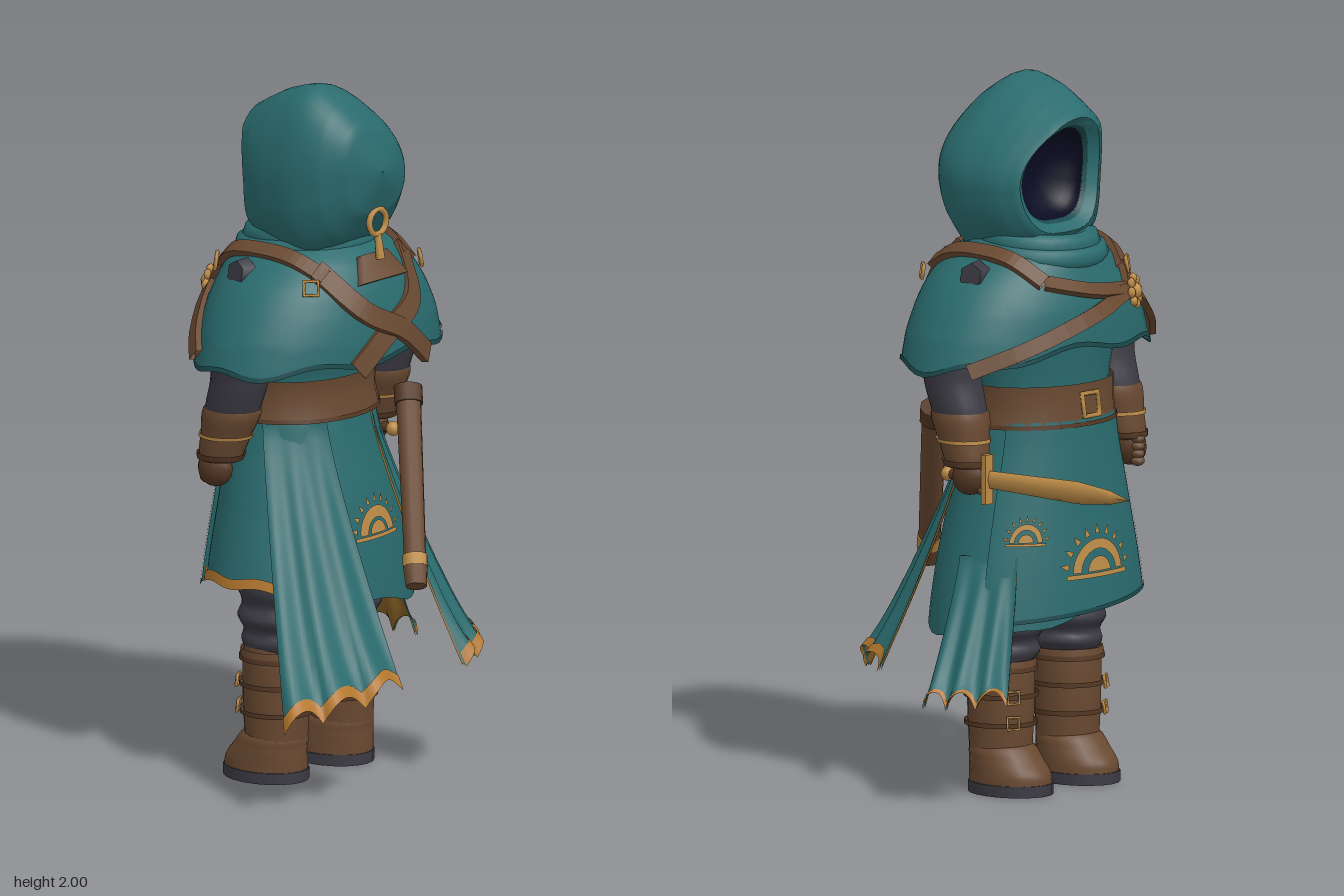
import * as THREE from 'three';
import { mergeGeometries } from 'three/addons/utils/BufferGeometryUtils.js';
import { ParametricGeometry } from 'three/addons/geometries/ParametricGeometry.js';

const mat = (name, color) => new THREE.MeshStandardMaterial({ name, color, side: THREE.DoubleSide });
const teal = mat('teal cloth', 0x2a6b6e), darkTeal = mat('dark teal edging', 0x1b4a4d);
const brown = mat('brown leather', 0x694931), darkBrown = mat('dark leather', 0x553824);
const grey = mat('charcoal cloth', 0x3c3a43), gold = mat('gold', 0xbd8c48), trim = mat('orange trim', 0xb4782e);
const lining = mat('ochre lining', 0x8c6428), shadow = mat('hood interior', 0x0a0a22);
const V = (x, y, z) => new THREE.Vector3(x, y, z);
const rad = d => d * Math.PI / 180;
const TAU = Math.PI * 2;

// Cross-sections: [key, radiusX, radiusZ, centreX, centreZ], keys falling; angle 0 is +z, 90 is +x
const robe = [[1.45, .28, .2, 0, .1], [1.3, .26, .2, 0, .09], [1.15, .22, .168, 0, .07], [1.03, .23, .18, 0, .072],
  [.8, .285, .215, 0, .085], [.6, .33, .24, 0, .09], [.42, .355, .25, 0, .09]];
const mantle = [[1.57, .15, .15, 0, .1], [1.52, .23, .205, 0, .11], [1.45, .31, .24, 0, .12],
  [1.38, .36, .262, 0, .122], [1.3, .4, .272, 0, .125], [1.18, .43, .275, 0, .125]];

// Smoothly interpolated section at height y
function section(rows, y) {
  let i = 0;
  while (i < rows.length - 2 && y < rows[i + 1][0]) i++;
  const t = THREE.MathUtils.clamp((rows[i][0] - y) / (rows[i][0] - rows[i + 1][0]), 0, 1);
  const at = k => rows[THREE.MathUtils.clamp(k, 0, rows.length - 1)];
  const [a, b, c, d] = [at(i - 1), at(i), at(i + 1), at(i + 2)];
  return b.map((p, k) => p + .5 * t * (c[k] - a[k] + t * (2 * a[k] - 5 * p + 4 * c[k] - d[k] + t * (3 * (p - c[k]) + d[k] - a[k]))));
}
function around(rows, a, y, off = 0) {
  const [, rx, rz, cx, cz] = section(rows, y);
  return V(cx + Math.sin(a) * (Math.max(rx, .001) + off), y, cz + Math.cos(a) * (Math.max(rz, .001) + off));
}

export function createModel() {
  const model = new THREE.Group();
  model.name = 'hoodedTraveller';
  const add = (name, geo, m) => {
    const mesh = new THREE.Mesh(geo, m);
    mesh.name = name;
    model.add(mesh);
    return mesh;
  };
  const sheet = (name, f, nu, nv, m) => add(name, new ParametricGeometry((u, v, t) => t.copy(f(u, v)), nu, nv), m);
  // Patch wrapped on a body, between two angles and two heights (numbers or functions of the angle)
  const patch = (name, rows, a0, a1, lo, hi, off, m, nu = 36, nv = 8) => {
    const h = (k, a) => typeof k === 'function' ? k(a) : k;
    return sheet(name, (u, v) => {
      const a = rad(a0 + (a1 - a0) * u);
      return around(rows, a, THREE.MathUtils.lerp(h(lo, a), h(hi, a), v), off);
    }, nu, nv, m);
  };
  const band = (name, rows, lo, hi, off, m) => patch(name, rows, 0, 360, lo, hi, off, m, 28, 2);
  const solid = (name, rows, m, n = 24) => patch(name, rows, 0, 360, rows[rows.length - 1][0], rows[0][0], 0, m, 20, n);
  const place = (mesh, rows, deg, y, off) => {
    mesh.position.copy(around(rows, rad(deg), y, off));
    mesh.lookAt(around(rows, rad(deg), y, off + 1).setY(y + .15));
    return mesh;
  };
  const rod = (name, p, q, r0, r1, m, sides = 10) => {
    const mesh = add(name, new THREE.CylinderGeometry(r1, r0, p.distanceTo(q), sides), m);
    mesh.position.copy(p).lerp(q, .5);
    mesh.quaternion.setFromUnitVectors(V(0, 1, 0), q.clone().sub(p).normalize());
  };
  // Flat leather strap following [degrees, height] points on the mantle
  const strap = (name, path, width, off) => {
    const curve = new THREE.CatmullRomCurve3(path.map(([d, y]) => around(mantle, rad(d), y, off)));
    const f = (u, v) => {
      const p = curve.getPoint(v), t = curve.getTangent(v);
      const n = p.clone().sub(V(0, 1.22, .12)).normalize();
      const b = t.clone().cross(n).normalize();
      const k = Math.round(u * 4) % 4;
      return p.addScaledVector(b, (k === 0 || k === 3 ? -.5 : .5) * width).addScaledVector(n, k < 2 ? -.01 : .01);
    };
    const geo = new ParametricGeometry((u, v, t) => t.copy(f(u, v)), 4, 20).toNonIndexed();
    geo.computeVertexNormals();
    add(name, geo, brown);
  };
  const buckle = (name, rows, deg, y, off, r) => {
    const geo = new THREE.TorusGeometry(r, r * .2, 4, 4).rotateZ(Math.PI / 4);
    place(add(name, geo, gold), rows, deg, y, off);
  };

  // Robe with slanting hem, belt and overlapping front flap
  const hem = a => .525 - .065 * Math.sin(a) + .006 * Math.sin(a * 9);
  patch('robe', robe, 0, 360, hem, 1.45, 0, teal, 48, 24);
  patch('hemTrim', robe, 205, 310, a => hem(a) - .005, a => hem(a) + .024, .006, trim, 30, 1);
  const flapHem = a => .53 - .03 * Math.sin(a);
  patch('frontFlap', robe, 112, 230, flapHem, 1.06, .012, teal, 30, 14);
  patch('flapEdge', robe, 228.5, 230.5, flapHem, 1.06, .015, darkTeal, 1, 14);
  patch('flapHem', robe, 112, 230, a => flapHem(a) - .004, a => flapHem(a) + .008, .015, darkTeal, 30, 1);
  band('belt', robe, 1.045, 1.16, .012, brown);
  band('beltEdge', robe, 1.04, 1.052, .016, darkBrown);
  buckle('beltBuckle', robe, 180, 1.1, .02, .045);

  // Half-sun emblems bent onto the robe
  const sun = (name, deg, y0, r, off, hole) => {
    const parts = [new THREE.RingGeometry(r * hole, r * .7, 16, 1, 0, Math.PI), new THREE.CircleGeometry(r * .32, 12, 0, Math.PI),
      new THREE.PlaneGeometry(r * 1.7, r * .1, 10, 1).translate(0, -r * .08, 0)];
    for (let i = 0; i < 9; i++) {
      parts.push(new THREE.CircleGeometry(r * .12, 3).scale(1.2, .7, 1).translate(r * .88, 0, 0).rotateZ(Math.PI * (i + .5) / 9));
    }
    const geo = mergeGeometries(parts), pos = geo.attributes.position;
    for (let i = 0; i < pos.count; i++) {
      const p = around(robe, rad(deg) + pos.getX(i) / .31, y0 + pos.getY(i), off);
      pos.setXYZ(i, p.x, p.y, p.z);
    }
    geo.computeVertexNormals();
    add(name, geo, gold);
  };
  sun('frontSun', 178, .635, .13, .018, .48);
  sun('sideSun', 134, .73, .075, .018, .48);
  sun('backSun', 6, .71, .11, .008, .4);

  // Flared coat tails with scalloped hems and ochre lining
  const tail = (name, tops, b0, b1, ripples) => {
    const [t0, t1] = tops.map(([d, y]) => around(robe, rad(d), y, .014));
    const f = off => (u, v) => {
      const p = t0.clone().lerp(t1, u), q = b0.clone().lerp(b1, u), e = Math.pow(v, 1.2);
      const out = V(p.x + q.x, 0, p.z + q.z - .2).normalize();
      const r = V(THREE.MathUtils.lerp(p.x, q.x, e), THREE.MathUtils.lerp(p.y, q.y, v), THREE.MathUtils.lerp(p.z, q.z, e));
      r.y += .05 * Math.pow(v, 6) * Math.abs(Math.sin(u * Math.PI * ripples));
      return r.addScaledVector(out, off + .014 * v * Math.sin(u * Math.PI * ripples * 2) + .035 * v * Math.sin(u * Math.PI));
    };
    sheet(name, f(0), 36, 16, teal);
    sheet(name + 'Lining', f(-.006), 36, 16, lining);
    sheet(name + 'Trim', (u, v) => f(.005)(u, .95 + .055 * v), 36, 2, trim);
  };
  tail('rightBackTail', [[-75, 1.04], [-25, 1.04]], V(-.505, .25, .435), V(-.135, .33, .55), 3);
  tail('leftBackTail', [[20, 1.04], [72, 1.04]], V(.15, .34, .535), V(.38, .34, .335), 3);
  tail('sideTail', [[92, .69], [130, .69]], V(.5, .28, .06), V(.375, .29, -.14), 3);

  // Shoulder mantle
  const mHem = a => 1.22 + .012 * Math.sin(a * 7) + .05 * Math.pow(Math.max(0, -Math.cos(a)), 2) + .02 * Math.pow(Math.max(0, Math.cos(a)), 2);
  patch('mantle', mantle, 0, 360, mHem, 1.57, 0, teal, 56, 14);
  patch('mantleEdge', mantle, 0, 360, a => mHem(a) - .006, a => mHem(a) + .008, .004, darkTeal, 56, 1);

  // Hood: ovals from the rim to the back, squarer below, leaning aside at the peak
  // [-z, radiusX, radiusY, unused, centreY]
  const hood = [[.028, .165, .158, 0, 1.735], [.02, .188, .18, 0, 1.735], [-.03, .205, .208, 0, 1.735], [-.1, .216, .238, 0, 1.74],
    [-.2, .217, .255, 0, 1.745], [-.28, .19, .2, 0, 1.757], [-.34, .13, .128, 0, 1.765], [-.365, .065, .064, 0, 1.765], [-.372, .002, .002, 0, 1.765]];
  const oval = (rx, ry, cy, a, z) => {
    const s = Math.sin(a), c = Math.cos(a), y = cy + ry * c;
    const x = rx * Math.sign(s) * Math.pow(Math.abs(s), c < 0 ? 1 - .4 * Math.min(1, -c * 3) : 1);
    const lean = .085 * THREE.MathUtils.smoothstep(y, 1.7, 2) * (1 + .8 * Math.min(0, x) / .215);
    const dip = .028 * Math.max(0, 1 - Math.pow((y - 1.72) / .14, 2)) * (1 - THREE.MathUtils.smoothstep(z, -.03, .1));
    return V(x - lean, y, z + dip);
  };
  sheet('hood', (u, v) => {
    const k = .028 - .4 * v, [, rx, ry, , cy] = section(hood, k);
    return oval(Math.max(rx, .002), Math.max(ry, .002), cy, u * TAU, -k);
  }, 40, 30, teal);
  sheet('hoodRim', (u, v) => oval(.166 - .03 * v, .159 - .024 * v, 1.735, u * TAU, -.028 + .02 * v), 40, 2, teal);
  sheet('hoodRimEdge', (u, v) => oval(.137 - .01 * v, .136 - .01 * v, 1.735, u * TAU, -.009 + .015 * v), 40, 1, darkTeal);
  sheet('hoodInterior', (u, v) => oval(.128 * Math.cos(v * 1.56), .127 * Math.cos(v * 1.56), 1.735, u * TAU, .004 + .1 * Math.sin(v * 1.57)), 40, 8, shadow);
  [[1.555, .145, .036], [1.525, .17, .034]].forEach(([y, r, tube], i) => {
    add('cowlFold' + i, new THREE.TorusGeometry(r, tube, 8, 32).rotateX(Math.PI / 2 - .1), teal).position.set(0, y, .085);
  });

  // Harness
  for (const s of [1, -1]) {
    const side = s > 0 ? 'left' : 'right';
    strap(side + 'BackStrap', [[s * 44, 1.5], [s * 16, 1.38], [-s * 4, 1.31], [-s * 19, 1.22]], .06, s > 0 ? .008 : .018);
    strap(side + 'ShoulderStrap', [[s * 38, 1.48], [s * 62, 1.525], [s * 90, 1.535], [s * 122, 1.52], [s * 148, 1.46]], .045, .014);
    buckle(side + 'StrapBuckle', mantle, s * 46, 1.46, .026, .028);
    place(add(side + 'ShoulderStud', new THREE.CylinderGeometry(.036, .046, .04, 6).rotateX(Math.PI / 2), grey), mantle, s * 101, 1.475, -.006);
  }
  strap('chestStrap', [[148, 1.46], [178, 1.425], [208, 1.405]], .04, .01);
  strap('shortChestStrap', [[218, 1.47], [213, 1.44], [208, 1.405]], .04, .01);
  strap('lowerChestStrap', [[118, 1.225], [145, 1.285], [178, 1.36], [208, 1.4], [235, 1.31], [246, 1.25]], .045, .012);
  buckle('chestBuckle', mantle, 218, 1.47, .024, .03);
  const flower = [new THREE.SphereGeometry(.024, 8, 6).scale(1, 1, .9)];
  for (let i = 0; i < 8; i++) {
    flower.push(new THREE.SphereGeometry(.016, 6, 5).scale(1, 1, .7).translate(.036, 0, 0).rotateZ(i * Math.PI / 4));
  }
  place(add('medallion', mergeGeometries(flower), gold), mantle, 208, 1.4, .026);
  const pad = add('backPad', new THREE.CylinderGeometry(.06, .105, .08, 4, 1).rotateY(Math.PI / 4).scale(1.25, 1, .3), brown);
  pad.position.set(0, 1.485, .34);
  pad.rotation.x = -.45;
  add('backRing', new THREE.TorusGeometry(.036, .009, 6, 20), gold).position.set(0, 1.615, .345);
  rod('ringStem', V(0, 1.51, .355), V(0, 1.58, .345), .013, .01, gold);

  // Arms, bracers and fists
  for (const s of [1, -1]) {
    const side = s > 0 ? 'left' : 'right', x = s * .32;
    const arm = [[1.42, .06, .06, s * .27, .12], [1.27, .08, .083, x, .118], [1.18, .08, .083, x, .11], [1.09, .073, .08, x, .085], [1.06, .06, .07, x, .08]];
    const bracer = [[1.105, .03, .03, x, .085], [1.1, .078, .083, x, .085], [1.02, .068, .074, s * .325, .066], [.945, .054, .06, s * .33, .048], [.94, .02, .02, s * .33, .048]];
    solid(side + 'Sleeve', arm, grey);
    solid(side + 'Bracer', bracer, brown);
    band(side + 'BracerStripe', bracer, 1.015, 1.026, .005, gold);
    band(side + 'BracerCuff', bracer, .95, .968, .006, darkBrown);
    add(side + 'Fist', new THREE.SphereGeometry(.05, 10, 8).scale(.9, 1.05, 1.1), darkBrown).position.set(s * .335, .92, .035);
    for (let i = 0; i < 4; i++) {
      add(side + 'Finger' + i, new THREE.SphereGeometry(.017, 6, 5).scale(1.3, .9, 1.2), brown).position.set(s * .325, .885 + i * .021, -.005);
    }
  }

  // Short sword and scabbard
  const sx = .33, sy = .918;
  rod('swordGrip', V(sx, sy, .12), V(sx, sy, -.02), .015, .015, darkBrown, 8);
  add('swordPommel', new THREE.SphereGeometry(.021, 8, 6), gold).position.set(sx, sy, .12);
  add('swordGuard', new THREE.BoxGeometry(.03, .14, .018), gold).position.set(sx, sy, -.025);
  const blade = mergeGeometries([new THREE.CylinderGeometry(.032, .025, .33, 4).translate(0, .165, 0),
    new THREE.CylinderGeometry(.02, .032, .12, 4).translate(0, .39, 0), new THREE.ConeGeometry(.02, .075, 4).translate(0, .4875, 0)]);
  add('swordBlade', blade.scale(.3, 1, 1).rotateX(-Math.PI / 2), gold).position.set(sx, sy, -.035);
  const s0 = V(.23, 1.07, .26), s1 = V(-.005, .6, .49), along = t => s0.clone().lerp(s1, t);
  rod('scabbard', s0, s1, .036, .031, brown);
  rod('scabbardThroat', along(-.02), along(.07), .041, .041, darkBrown);
  rod('scabbardBand', along(.86), along(.92), .036, .036, gold);
  rod('scabbardTip', along(.92), along(1.02), .035, .03, brown);

  // Trousers and boots
  for (const s of [1, -1]) {
    const side = s > 0 ? 'left' : 'right', x = s * .14;
    solid(side + 'TrouserLeg', [[.7, .1, .1, s * .11, .09], [.55, .115, .125, s * .125, .095], [.505, .103, .112, s * .125, .095], [.465, .112, .122, s * .13, .095],
      [.43, .095, .104, s * .13, .095], [.4, .102, .11, s * .13, .095], [.36, .08, .085, x, .09]], grey, 30);
    const shaft = [[.4, .04, .04, x, .092], [.39, .088, .09, x, .092], [.25, .092, .096, x, .092], [.12, .088, .09, x, .092], [.06, .085, .09, x, .09]];
    const foot = [[.15, .05, .06, x, .09], [.13, .088, .095, x, .085], [.095, .096, .11, x, .072], [.06, .099, .125, x, .058], [.03, .1, .128, x, .055]];
    solid(side + 'BootShaft', shaft, brown);
    solid(side + 'BootFoot', foot, brown);
    const sole = add(side + 'Sole', new THREE.CylinderGeometry(1, 1, .032, 20).scale(.104, 1, .131), grey);
    sole.position.set(x, .016, .055);
    band(side + 'BootCuff', shaft, .35, .378, .008, brown);
    [.19, .27, .345].forEach((y, i) => band(side + 'BootStrap' + i, shaft, y, y + .014, .01, darkBrown));
    [.205, .278].forEach((y, i) => buckle(side + 'BootBuckle' + i, shaft, s * 150, y, .014, .024));
  }
  return model;
}
